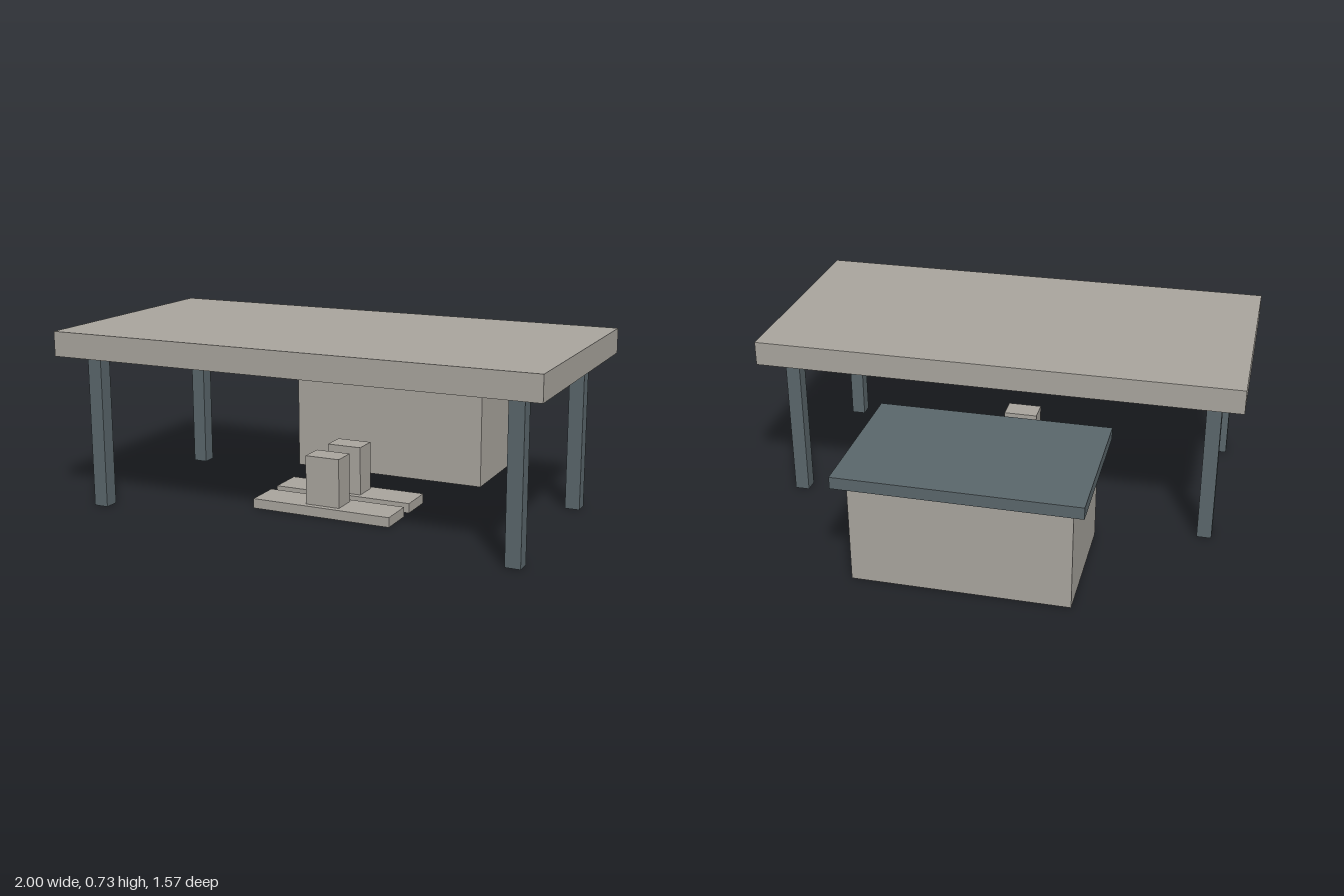
import * as THREE from 'three';

export function createModel() {
  const model = new THREE.Group();
  model.name = 'fillingStation';

  const concrete = new THREE.MeshStandardMaterial({ color: 0xaaa69f });
  concrete.name = 'concrete';
  const slate = new THREE.MeshStandardMaterial({ color: 0x5b676c });
  slate.name = 'slate';

  // Box from its size, base height and centre on the ground plan
  function block(name, material, [w, h, d], x, base, z) {
    const mesh = new THREE.Mesh(new THREE.BoxGeometry(w, h, d), material);
    mesh.name = name;
    mesh.position.set(x, base + h / 2, z);
    model.add(mesh);
  }

  // Canopy on four posts
  block('canopy', concrete, [2, 0.1, 1], 0, 0.628, 0.287);
  for (const x of [-0.88, 0.88]) {
    for (const z of [-0.093, 0.667]) {
      block('canopyPost', slate, [0.06, 0.628, 0.06], x, 0, z);
    }
  }

  // Two raised islands, each with a pump
  for (const z of [0.187, 0.387]) {
    block('pumpIsland', concrete, [0.6, 0.04, 0.15], 0, 0, z);
    block('pump', concrete, [0.146, 0.2, 0.1], 0, 0.04, z);
  }

  // Shop behind the canopy with an overhanging roof
  block('shop', concrete, [0.874, 0.428, 0.536], 0, 0, -0.468);
  block('shopRoof', slate, [0.97, 0.049, 0.637], 0, 0.428, -0.468);

  return model;
}
